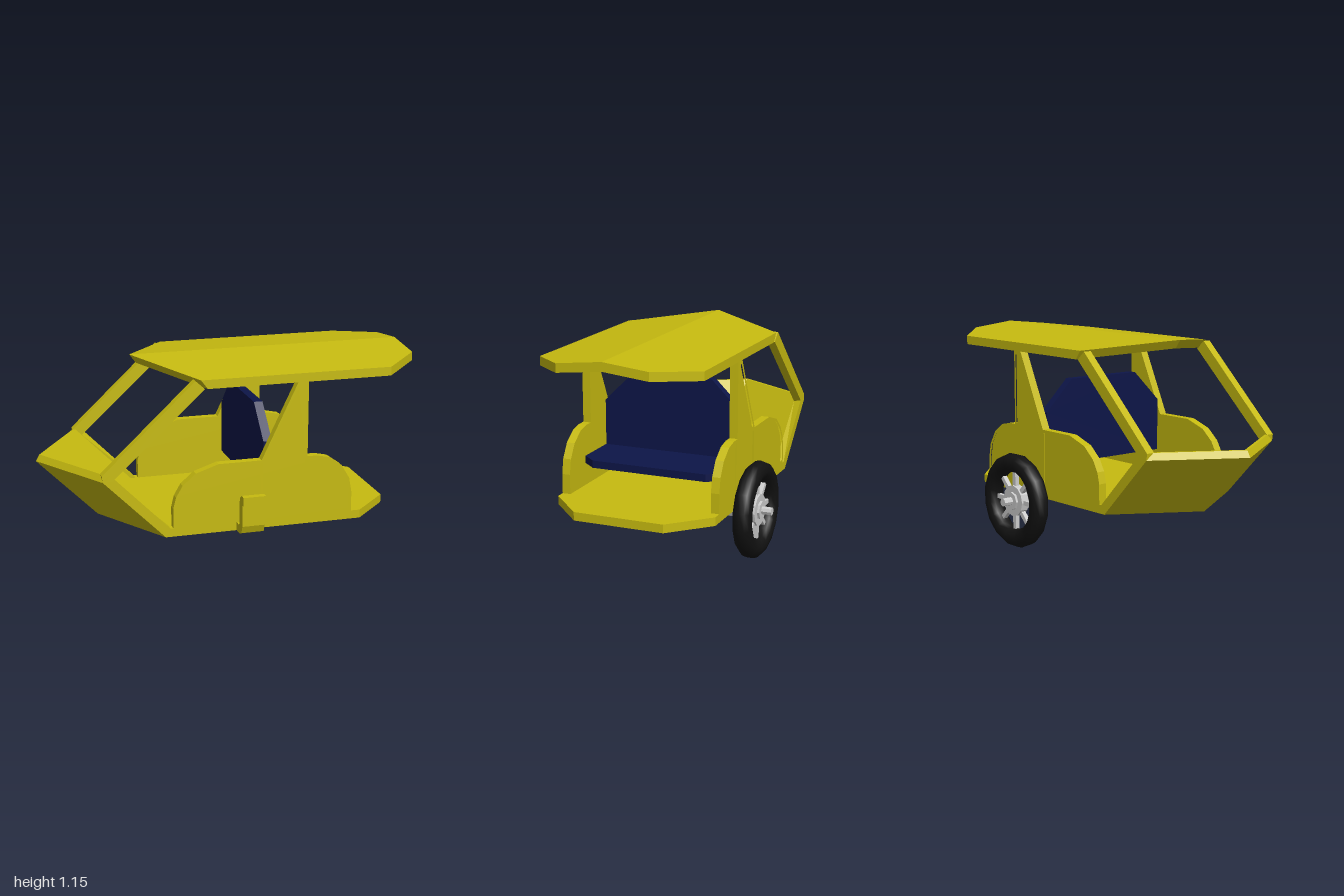
import * as THREE from 'three';

const yellow = new THREE.MeshStandardMaterial({ color: 0xc6ba10, flatShading: true });
const blue = new THREE.MeshStandardMaterial({ color: 0x0d1548, flatShading: true });
const black = new THREE.MeshStandardMaterial({ color: 0x111111 });
const grey = new THREE.MeshStandardMaterial({ color: 0xcccccc, flatShading: true });

const HALF = 0.44;   // half width of the body
const WALL = 0.045;  // thickness of the side walls
const SHEAR = 0.27 / HALF; // backward sweep of the pointed front

function add(parent, name, geometry, material) {
  const mesh = new THREE.Mesh(geometry, material);
  mesh.name = name;
  parent.add(mesh);
  return mesh;
}

const toPoints = (list) => list.map(([x, y]) => new THREE.Vector2(x, y));

// Extrudes an x-y outline from z0 to z1
function plate(outline, z0, z1, holes = []) {
  const shape = new THREE.Shape(toPoints(outline));
  holes.forEach((h) => shape.holes.push(new THREE.Path(toPoints(h))));
  const geo = new THREE.ExtrudeGeometry(shape, { depth: z1 - z0, bevelEnabled: false });
  return geo.translate(0, 0, z0);
}

// Solid between two convex loops of equal length, always wound outwards
function slab(lower, upper) {
  const n = lower.length;
  const tris = [];
  const quad = (a, b, c, d) => tris.push([a, b, c], [a, c, d]);
  for (let i = 1; i < n - 1; i++) {
    tris.push([lower[0], lower[i + 1], lower[i]], [upper[0], upper[i], upper[i + 1]]);
  }
  for (let i = 0; i < n; i++) {
    const j = (i + 1) % n;
    quad(lower[i], lower[j], upper[j], upper[i]);
  }
  const v = (p) => new THREE.Vector3(...p);
  const centre = v([0, 0, 0]);
  [...lower, ...upper].forEach((p) => centre.addScaledVector(v(p), 0.5 / n));
  const volume = tris.reduce((sum, [a, b, c]) =>
    sum + v(a).sub(centre).dot(v(b).sub(centre).cross(v(c).sub(centre))), 0);
  const flat = tris.flatMap(([a, b, c]) => (volume > 0 ? [a, b, c] : [a, c, b])).flat();
  const geo = new THREE.BufferGeometry();
  geo.setAttribute('position', new THREE.Float32BufferAttribute(flat, 3));
  geo.computeVertexNormals();
  return geo;
}

// Half of a deck with a pointed front and a chamfered rear
function halfDeck(side, tip, rear, lowY, highY, ridge, lean) {
  const plan = [[tip, 0], [tip + 0.27, HALF], [rear - 0.2, HALF], [rear, 0.245], [rear, 0]];
  const loop = (y, shift) => plan.map(([x, z], i) =>
    [x + (i < 2 ? shift : 0), y + ridge * (1 - z / HALF), z * side]);
  return slab(loop(lowY, 0), loop(highY, lean));
}

// One slanted half of the nose: a profile swept outwards and back
function noseHalf(side) {
  const profile = [[-0.68, 0.29], [-1, 0.615], [-0.98, 0.65], [-0.962, 0.65], [-0.655, 0.335], [-0.63, 0.29]];
  const at = (z) => profile.map(([x, y]) => [x + SHEAR * z, y, z * side]);
  return slab(at(0), at(HALF));
}

function buildSide(body, side) {
  const group = new THREE.Group();
  group.name = side > 0 ? 'frontSideWall' : 'backSideWall';
  body.add(group);
  const span = (a, b) => (side > 0 ? [a, b] : [-b, -a]);

  // Bent post from the floor over the nose up to the roof
  const post = [[-0.41, 0.29], [-0.73, 0.615], [-0.735, 0.65], [-0.25, 1.105],
    [-0.2, 1.06], [-0.685, 0.615], [-0.385, 0.335], [-0.385, 0.29]];
  add(group, 'windscreenPost', plate(post, ...span(HALF - WALL, HALF)), yellow);

  // Panelled wall with arched ends and a roof pillar
  const outline = [[-0.37, 0.32], [-0.37, 0.44], [-0.355, 0.5], [-0.32, 0.56], [-0.25, 0.62],
    [-0.13, 0.66], [0.1, 0.66], [0.295, 1.065], [0.35, 1.065], [0.35, 0.66], [0.4, 0.66],
    [0.47, 0.645], [0.54, 0.595], [0.585, 0.52], [0.6, 0.44], [0.6, 0.32]];
  const panels = [
    [[-0.355, 0.355], [-0.355, 0.44], [-0.34, 0.495], [-0.308, 0.548], [-0.242, 0.606],
      [-0.128, 0.645], [0.092, 0.645], [0.092, 0.355]],
    [[0.107, 0.355], [0.107, 0.645], [0.337, 0.645], [0.337, 0.355]],
    [[0.367, 0.355], [0.367, 0.645], [0.4, 0.645], [0.463, 0.632], [0.528, 0.585],
      [0.571, 0.515], [0.585, 0.44], [0.585, 0.355]],
    [[0.122, 0.67], [0.302, 1.04], [0.337, 1.04], [0.337, 0.67]],
  ];
  add(group, 'wallPanel', plate(outline, ...span(HALF - WALL, HALF - 0.015)), yellow);
  add(group, 'wallTrim', plate(outline, ...span(HALF - 0.015, HALF), panels), yellow);
}

function buildSeat(body) {
  const seat = new THREE.Group();
  seat.name = 'seat';
  body.add(seat);
  const w = HALF - WALL;
  // Backrest outline is drawn in z-y and turned to face along x
  const back = [[-w, 0.455], [w, 0.455], [w, 0.745], [0.225, 0.912], [-0.225, 0.912], [-w, 0.745]];
  add(seat, 'backrest', plate(back, 0, 0.047).rotateY(Math.PI / 2).translate(0.123, 0, 0), blue);
  const plan = [[0.123, -w], [0.42, -w], [0.485, -0.32], [0.485, 0.32], [0.42, w], [0.123, w]];
  const at = (y) => plan.map(([x, z]) => [x, y, z]);
  add(seat, 'cushion', slab(at(0.455), at(0.495)), blue);
}

function buildWheel(body) {
  const wheel = new THREE.Group();
  wheel.name = 'wheel';
  wheel.position.set(0.253, 0.262, -0.51);
  body.add(wheel);
  add(wheel, 'tyre', new THREE.TorusGeometry(0.207, 0.051, 12, 16).rotateZ(Math.PI / 16), black);
  const rod = (name, r, z0, z1, sides) => add(wheel, name,
    new THREE.CylinderGeometry(r, r, z1 - z0, sides).rotateX(Math.PI / 2).translate(0, 0, (z0 + z1) / 2), grey);
  rod('hub', 0.085, -0.022, 0.022, 12);
  rod('hubCap', 0.05, -0.035, 0.035, 8);
  rod('axle', 0.022, -0.088, 0.1, 8);
  rod('axleMount', 0.055, 0.06, 0.155, 8);
  for (let i = 0; i < 8; i++) {
    const spoke = new THREE.BoxGeometry(0.024, 0.11, 0.024).translate(0, 0.12, 0);
    add(wheel, 'spoke', spoke.rotateZ((i * Math.PI) / 4), grey);
  }
}

export function createModel() {
  const model = new THREE.Group();
  model.name = 'sidecar';
  const body = new THREE.Group();
  body.name = 'body';
  body.position.z = 0.02;
  model.add(body);

  for (const side of [1, -1]) {
    add(body, 'floor', halfDeck(side, -0.68, 0.85, 0.29, 0.335, 0, -0.04), yellow);
    add(body, 'roof', halfDeck(side, -0.455, 1, 1.06, 1.107, 0.048, -0.035), yellow);
    add(body, 'nose', noseHalf(side), yellow);
    buildSide(body, side);
  }
  buildSeat(body);
  buildWheel(body);

  // Coupling bracket beside the floor, profile in z-y
  const hook = [[0.42, 0.29], [0.49, 0.29], [0.525, 0.305], [0.541, 0.345], [0.541, 0.46], [0.56, 0.46],
    [0.56, 0.508], [0.525, 0.508], [0.498, 0.49], [0.49, 0.462], [0.49, 0.345], [0.48, 0.335], [0.42, 0.335]];
  const hookGeo = plate(hook, 0, 0.12).rotateY(-Math.PI / 2).translate(0.088, 0, 0);
  add(body, 'couplingHook', hookGeo, yellow);
  return model;
}
